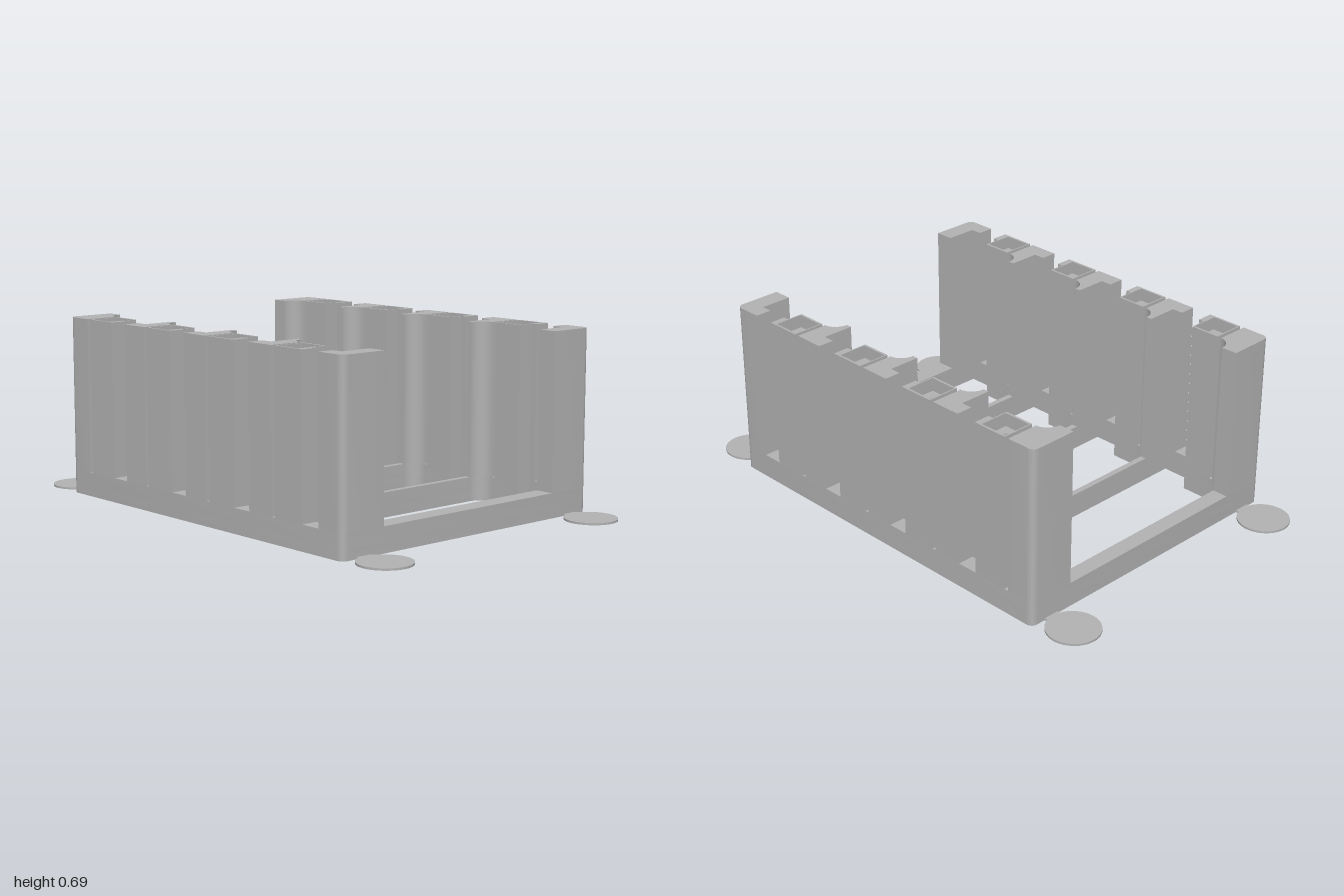
import * as THREE from 'three';
import { toCreasedNormals } from 'three/addons/utils/BufferGeometryUtils.js';

const X = 0.615, Z = 0.793;             // outer half sizes
const XWALL = 0.55, XTUBE = 0.485, XLIP = 0.425; // inner faces of wall, tube and end lip
const BASE = 0.095, TOP = 0.695;        // heights
const BAYS = 4, PITCH = 0.3675, START = -0.729;
const FILLET = 0.058, CORNER = 0.025;
// offsets inside one bay, from its back edge
const SLOT = [0.054, 0.071], TUBE_END = 0.193, GAP = [0.215, 0.299], BAY_END = 0.344;
const HOLE_X = 0.55, HOLE_Z = 0.132;

const bayZ = (k) => START + k * PITCH;

// Plan outline from [x, z, cornerRadius] points with square corners
function outline(points, Type = THREE.Shape) {
  const out = [];
  const n = points.length;
  points.forEach(([x, z, r = 0], i) => {
    const p = new THREE.Vector2(x, z);
    if (!r) { out.push(p); return; }
    const u = new THREE.Vector2(...points[(i + n - 1) % n].slice(0, 2)).sub(p).normalize();
    const v = new THREE.Vector2(...points[(i + 1) % n].slice(0, 2)).sub(p).normalize();
    for (let j = 0; j <= 8; j++) {
      const t = (j / 8) * Math.PI / 2;
      out.push(p.clone()
        .addScaledVector(u, r * (1 - Math.sin(t)))
        .addScaledVector(v, r * (1 - Math.cos(t))));
    }
  });
  return new Type(out);
}

function polygonHole(x, z, r, sides) {
  const pts = [];
  for (let i = 0; i < sides; i++) {
    const a = (i / sides) * Math.PI * 2;
    pts.push(new THREE.Vector2(x + r * Math.cos(a), z + r * Math.sin(a)));
  }
  return new THREE.Path(pts);
}

export function createModel() {
  const model = new THREE.Group();
  const grey = new THREE.MeshStandardMaterial({ color: 0xb2b2b2 });
  grey.name = 'grey plastic';

  // Plan outline raised from y0 to y1
  function slab(name, shape, y0, y1) {
    let g = new THREE.ExtrudeGeometry(shape, { depth: y1 - y0, bevelEnabled: false });
    g.rotateX(Math.PI / 2);
    g.translate(0, y1, 0);
    g = toCreasedNormals(g, 0.5);
    const mesh = new THREE.Mesh(g, grey);
    mesh.name = name;
    model.add(mesh);
  }

  // Ladder base in two layers: nut recesses below, screw holes above
  function basePlan(holeRadius, sides) {
    const shape = outline([[-X, -Z, CORNER], [X, -Z, CORNER], [X, Z, CORNER], [-X, Z, CORNER]]);
    for (let k = 0; k < BAYS; k++) {
      const s = bayZ(k);
      shape.holes.push(outline([
        [-XTUBE, s, FILLET], [XTUBE, s, FILLET],
        [XTUBE, s + TUBE_END], [XWALL, s + TUBE_END], [XWALL, s + BAY_END],
        [-XWALL, s + BAY_END], [-XWALL, s + TUBE_END], [-XTUBE, s + TUBE_END],
      ], THREE.Path));
      for (const m of [-1, 1]) {
        shape.holes.push(polygonHole(m * HOLE_X, s + HOLE_Z, holeRadius, sides));
      }
    }
    return shape;
  }
  slab('baseLower', basePlan(0.036, 6), 0, 0.04);
  slab('baseUpper', basePlan(0.026, 24), 0.04, BASE);

  for (const m of [-1, 1]) {
    const side = m > 0 ? 'left' : 'right';
    const plan = (pts) => outline(pts.map(([x, z, r]) => [m * x, z, r]));

    // Divider posts: corner posts at both ends, lipped posts between bays
    for (let k = 0; k <= BAYS; k++) {
      const s = bayZ(k), prev = bayZ(k - 1);
      const first = k === 0, last = k === BAYS;
      const pts = first
        ? [[X, -Z, CORNER], [XLIP, -Z]]
        : [[X, prev + GAP[1]], [XWALL, prev + GAP[1]], [XWALL, prev + BAY_END], [XLIP, prev + BAY_END]];
      if (last) pts.push([XLIP, Z], [X, Z, CORNER]);
      else pts.push([XLIP, s], [XTUBE, s, FILLET], [XTUBE, s + SLOT[0]], [X, s + SLOT[0]]);
      slab(side + 'DividerPost' + (k + 1), plan(pts), BASE, TOP);
    }

    // Tube posts: screw hole all the way up, square pocket at the top
    for (let k = 0; k < BAYS; k++) {
      const s = bayZ(k), c = s + HOLE_Z, h = 0.056;
      const pts = [
        [X, s + SLOT[1]], [XTUBE, s + SLOT[1]], [XTUBE, s + TUBE_END],
        [XWALL, s + TUBE_END], [XWALL, s + GAP[0]], [X, s + GAP[0]],
      ];
      const shaft = plan(pts);
      shaft.holes.push(polygonHole(m * HOLE_X, c, 0.026, 24));
      slab(side + 'TubePost' + (k + 1), shaft, BASE, TOP - 0.05);

      const rim = plan(pts);
      const px = m * HOLE_X;
      rim.holes.push(outline([[px - h, c - h], [px + h, c - h], [px + h, c + h], [px - h, c + h]], THREE.Path));
      slab(side + 'PocketRim' + (k + 1), rim, TOP - 0.05, TOP);
    }

    // Thin round feet joined to the corners by short necks
    for (const d of [-1, 1]) {
      const end = side + (d > 0 ? 'Front' : 'Back');
      const pad = new THREE.Mesh(new THREE.CylinderGeometry(0.1, 0.1, 0.008, 48), grey);
      pad.position.set(m * 0.52, 0.004, d * 0.9);
      pad.name = end + 'FootPad';
      const neck = new THREE.Mesh(new THREE.BoxGeometry(0.065, 0.0076, 0.06), grey);
      neck.position.set(m * 0.52, 0.004, d * 0.805);
      neck.name = end + 'FootNeck';
      model.add(pad, neck);
    }
  }
  return model;
}
